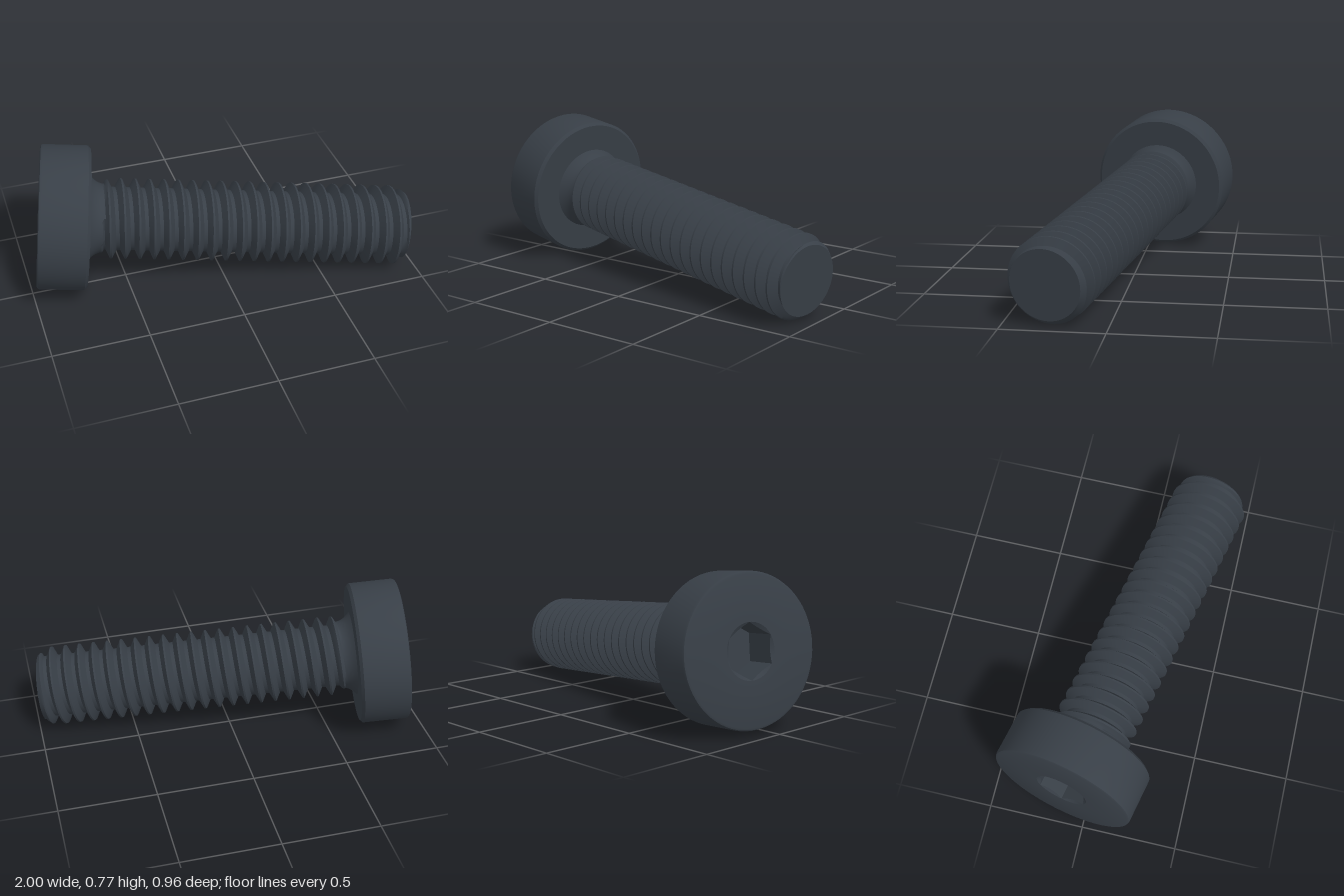
import * as THREE from 'three';
import { toCreasedNormals } from 'three/addons/utils/BufferGeometryUtils.js';

const SEGMENTS = 72;
const HEAD_RADIUS = 0.373, HEAD_HEIGHT = 0.257, BEVEL = 0.015;
const SOCKET_RADIUS = 0.137, SOCKET_DEPTH = 0.17;
const CREST = 0.209, ROOT = 0.163, PITCH = 0.0751, PHASE = 1.848;
const LENGTH = 1.925, TIP_RADIUS = 0.175;

// Surface around the local y axis; ring(j, angle) returns [radius, height].
// Rings that rise face outwards, rings that descend face the axis.
function loft(ringCount, ring, crease = 0.6) {
  const grid = [];
  for (let j = 0; j < ringCount; j++) {
    const row = [];
    for (let i = 0; i <= SEGMENTS; i++) {
      const angle = (i / SEGMENTS) * Math.PI * 2;
      const [r, h] = ring(j, angle);
      row.push(new THREE.Vector3(Math.sin(angle) * r, h, Math.cos(angle) * r));
    }
    grid.push(row);
  }
  const positions = [];
  const addTriangle = (a, b, c) => {
    if (new THREE.Triangle(a, b, c).getArea() < 1e-9) return;
    for (const p of [a, b, c]) positions.push(p.x, p.y, p.z);
  };
  for (let j = 0; j < ringCount - 1; j++) {
    for (let i = 0; i < SEGMENTS; i++) {
      const a = grid[j][i], b = grid[j][i + 1], c = grid[j + 1][i + 1], d = grid[j + 1][i];
      addTriangle(a, b, d);
      addTriangle(b, c, d);
    }
  }
  const geometry = new THREE.BufferGeometry();
  geometry.setAttribute('position', new THREE.Float32BufferAttribute(positions, 3));
  geometry.computeVertexNormals();
  return toCreasedNormals(geometry, crease);
}

// Low cylindrical head with small bevels and a fillet down to the shank
function headGeometry() {
  const profile = [
    [SOCKET_RADIUS, 0],
    [HEAD_RADIUS - BEVEL, 0],
    [HEAD_RADIUS - BEVEL * 0.3, BEVEL * 0.3],
    [HEAD_RADIUS, BEVEL],
    [HEAD_RADIUS, HEAD_HEIGHT - BEVEL],
    [HEAD_RADIUS - BEVEL, HEAD_HEIGHT],
    [0.15, HEAD_HEIGHT],
  ];
  return loft(profile.length, (j) => profile[j]);
}

// Hexagonal recess with a conical lead-in and a flat floor
function socketGeometry() {
  const sixth = Math.PI / 3;
  return loft(4, (j, angle) => {
    const hex = (SOCKET_RADIUS * Math.cos(sixth / 2)) / Math.cos((angle % sixth) - sixth / 2);
    return [
      [0, SOCKET_DEPTH],
      [hex, SOCKET_DEPTH],
      [hex, (SOCKET_RADIUS - hex) * 0.577],
      [SOCKET_RADIUS, 0],
    ][j];
  }, 0.4);
}

// Shank radius: right-handed thread, neck fillet and chamfered tip
function shankRadius(turn, h) {
  const away = Math.abs(turn - Math.round(turn));
  const ridge = 1 - THREE.MathUtils.clamp((away - 0.0625) / 0.3125, 0, 1);
  const runIn = THREE.MathUtils.smoothstep(h, 0.29, 0.36);
  let r = ROOT + (CREST - ROOT) * ridge * runIn;
  const neck = THREE.MathUtils.clamp((0.33 - h) / (0.33 - HEAD_HEIGHT), 0, 1);
  if (neck > 0) r = Math.max(r, 0.178 + 0.042 * neck * neck);
  r = Math.max(r, TIP_RADIUS - (LENGTH - h) * 0.7);
  return Math.min(r, TIP_RADIUS + (LENGTH - h) * 0.75);
}

// Rings follow the helix so that the crests stay crisp
function shankGeometry() {
  const steps = [-0.0625, 0.0625, 0.167, 0.271, 0.375, 0.5, 0.625, 0.729, 0.833];
  const firstTurn = -23, turns = 27;
  const count = turns * steps.length;
  return loft(count + 1, (j, angle) => {
    if (j === count) return [0, LENGTH];
    const turn = firstTurn + Math.floor(j / steps.length) + steps[j % steps.length];
    const twist = angle / (Math.PI * 2);
    const h = THREE.MathUtils.clamp(PHASE + (turn + twist) * PITCH, HEAD_HEIGHT, LENGTH);
    return [shankRadius((h - PHASE) / PITCH - twist, h), h];
  });
}

export function createModel() {
  const steel = new THREE.MeshStandardMaterial({ color: 0x383f47 });
  steel.name = 'darkSteel';

  const model = new THREE.Group();
  model.name = 'screw';
  const parts = {
    head: headGeometry(),
    hexSocket: socketGeometry(),
    threadedShank: shankGeometry(),
  };
  for (const [name, geometry] of Object.entries(parts)) {
    const mesh = new THREE.Mesh(geometry, steel);
    mesh.name = name;
    model.add(mesh);
  }

  // Lay the screw down along its tilted axis
  const axis = new THREE.Vector3(1, -0.105, 0.215).normalize();
  const up = new THREE.Vector3(0, 1, 0).addScaledVector(axis, -axis.y).normalize();
  const side = new THREE.Vector3().crossVectors(axis, up);
  model.quaternion.setFromRotationMatrix(new THREE.Matrix4().makeBasis(side, axis, up));
  model.position.set(-0.913, 0.4, -0.115);

  const root = new THREE.Group();
  root.name = 'socketHeadScrew';
  root.add(model);
  return root;
}
